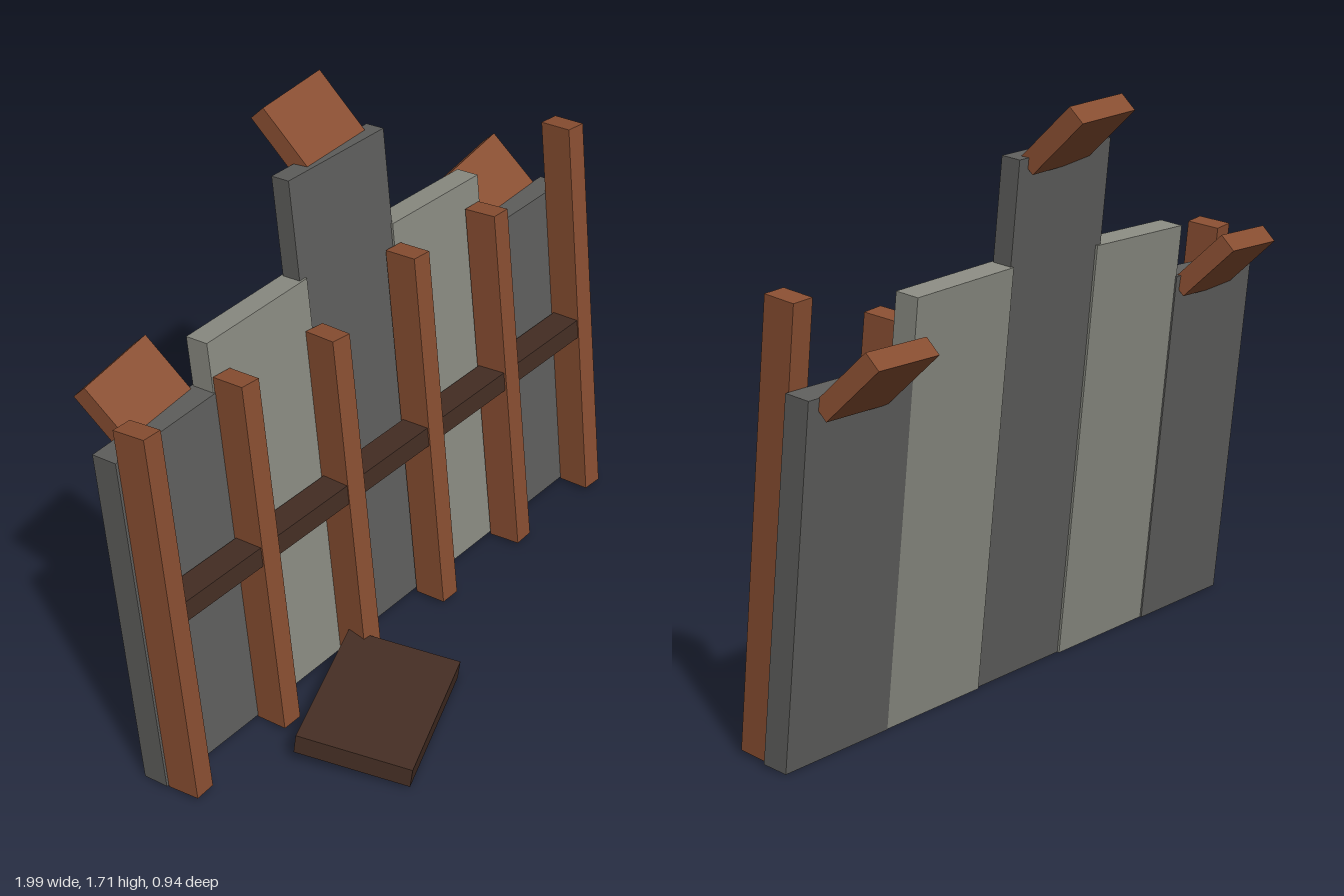
import * as THREE from 'three';

const LEAN = 0.1;
const mat = (color) => new THREE.MeshStandardMaterial({ color, flatShading: true });

export function createModel() {
  const group = new THREE.Group();
  const wood = mat(0x8a4f32), darkWood = mat(0x452e24);
  const darkStone = mat(0x5f5f5d), lightStone = mat(0x8b8c83);

  function add(name, geometry, material, position, rotation) {
    const mesh = new THREE.Mesh(geometry, material);
    mesh.name = name;
    mesh.position.set(...position);
    mesh.rotation.set(...rotation, 'YXZ');
    group.add(mesh);
    return mesh;
  }

  // Upright board standing on its base, with a slightly uneven top edge
  function board(width, depth, leftTop, rightTop) {
    const geometry = new THREE.BoxGeometry(width, 1, depth);
    const p = geometry.attributes.position;
    for (let i = 0; i < p.count; i++) {
      p.setY(i, p.getY(i) < 0 ? 0 : p.getX(i) < 0 ? leftTop : rightTop);
    }
    return geometry;
  }

  // Wall panels: x from, x to, height at -x, height at +x, thickness, material
  [
    [-0.995, -0.6, 1.085, 1.1, 0.086, darkStone],
    [-0.605, -0.19, 1.255, 1.26, 0.076, lightStone],
    [-0.213, 0.195, 1.57, 1.56, 0.062, darkStone],
    [0.19, 0.59, 1.26, 1.245, 0.076, lightStone],
    [0.588, 0.995, 1.045, 1.045, 0.08, darkStone],
  ].forEach(([x0, x1, left, right, depth, material], i) =>
    add('wallPanel' + (i + 1), board(x1 - x0, depth, left, right), material,
      [(x0 + x1) / 2, 0.012, -0.118], [-LEAN, 0, 0]));

  // Posts in front of the wall: base x, top x, height, yaw
  [
    [-0.95, -0.942, 1.19, 0.06],
    [-0.57, -0.568, 1.155, 0.0],
    [-0.192, -0.196, 1.11, -0.06],
    [0.178, 0.18, 1.2, 0.0],
    [0.558, 0.556, 1.17, 0.04],
    [0.938, 0.94, 1.29, -0.04],
  ].forEach(([x, topX, height, yaw], i) =>
    add('post' + (i + 1), board(0.068, 0.106, height, height - 0.005), wood,
      [x, 0.016, -0.024], [-LEAN, yaw, (x - topX) / height]));

  // Cross rail
  add('crossRail', new THREE.BoxGeometry(1.86, 0.062, 0.094), darkWood,
    [-0.01, 0.613, -0.083], [-LEAN, 0, -0.003]);

  // Slanted blocks along the top: centre, yaw, roll
  [
    [[-0.768, 1.13, -0.322], 0.06, 0.09],
    [[0.012, 1.615, -0.36], 0.11, -0.01],
    [[0.805, 1.078, -0.325], 0.06, 0.08],
  ].forEach(([position, yaw, roll], i) =>
    add('topBlock' + (i + 1), new THREE.BoxGeometry(0.275, 0.22, 0.06), wood,
      position, [-0.8, yaw, roll]));

  // Loose slab lying at the foot of the wall
  add('fallenSlab', new THREE.BoxGeometry(0.5, 0.064, 0.35), darkWood,
    [-0.395, 0.064, 0.21], [0.12, 0.385, -0.01]);

  return group;
}
